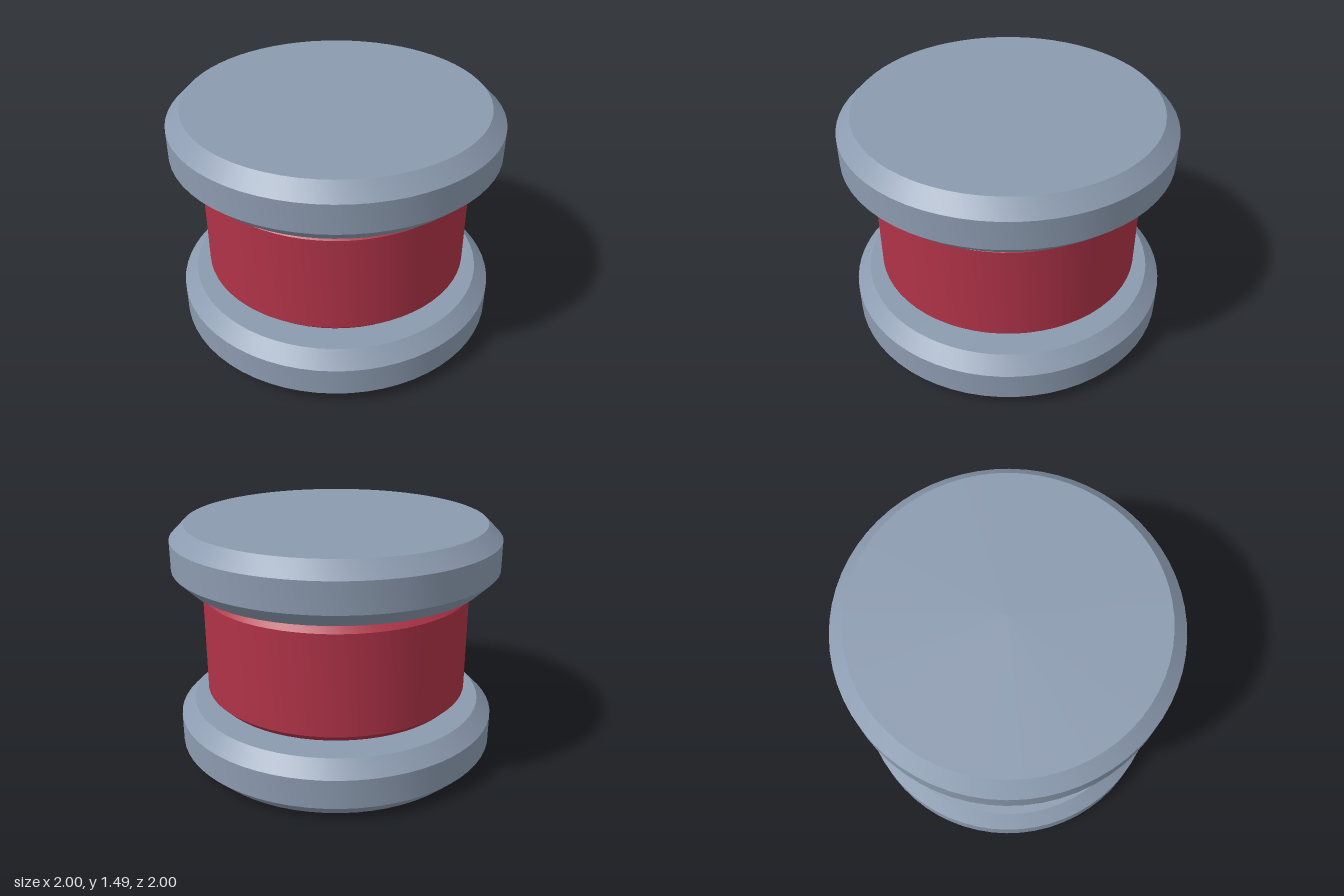
import * as THREE from 'three';
import { toCreasedNormals } from 'three/addons/utils/BufferGeometryUtils.js';

const SEGMENTS = 64;

// Turned solid from [radius, height] pairs, bottom to top, with sharp edges
function turned(name, profile, material) {
  const points = profile.map(([r, y]) => new THREE.Vector2(r, y));
  const geometry = toCreasedNormals(new THREE.LatheGeometry(points, SEGMENTS), 0.5);
  const mesh = new THREE.Mesh(geometry, material);
  mesh.name = name;
  return mesh;
}

// Closed disc with the same 45 degree chamfer on both rims
function chamferedDisc(name, radius, bottom, top, chamfer, material) {
  return turned(name, [
    [0, bottom], [radius - chamfer, bottom], [radius, bottom + chamfer],
    [radius, top - chamfer], [radius - chamfer, top], [0, top],
  ], material);
}

export function createModel() {
  const steel = new THREE.MeshStandardMaterial({ color: 0x8c9bb0 });
  steel.name = 'blue grey steel';
  const red = new THREE.MeshStandardMaterial({ color: 0xb03348 });
  red.name = 'crimson';

  const model = new THREE.Group();
  model.name = 'spool';

  // End flanges
  model.add(chamferedDisc('lowerFlange', 1, 0, 0.355, 0.088, steel));
  model.add(chamferedDisc('upperFlange', 1, 1.13, 1.485, 0.088, steel));

  // Core waisted between the flanges, flared where it meets them
  model.add(turned('core', [
    [0.34, 0.355], [0.27, 0.425], [0.27, 1.06], [0.34, 1.13],
  ], steel));

  // Wide red drum around the core
  model.add(chamferedDisc('drum', 0.823, 0.39, 1.095, 0.045, red));

  return model;
}
